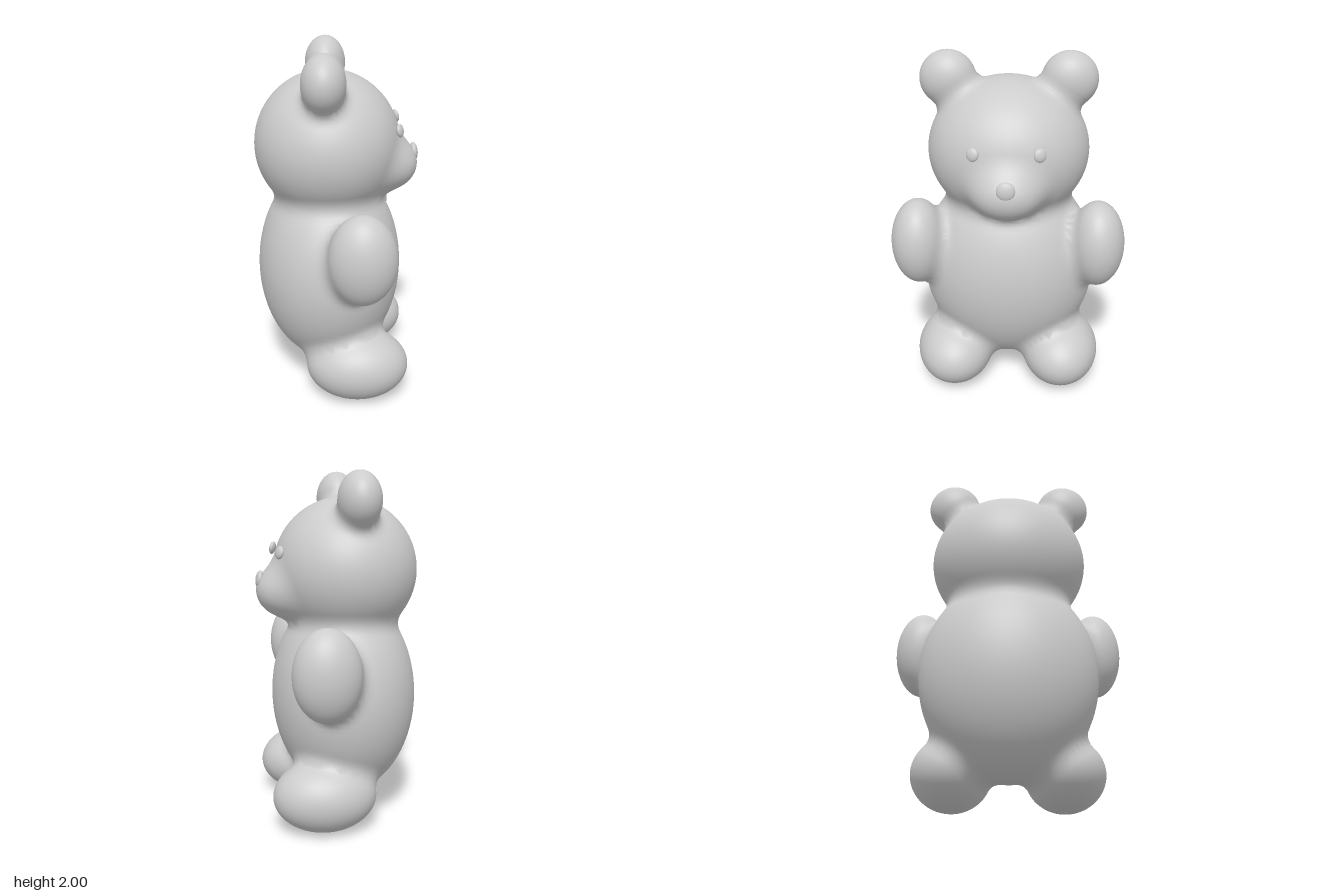
import * as THREE from 'three';

// Ellipsoids that melt into one another: name, centre, radii
const parts = [
  { name: 'body', c: [-0.045, 0.725, 0], r: [0.415, 0.6, 0.508] },
  { name: 'head', c: [-0.055, 1.45, 0], r: [0.41, 0.41, 0.453] },
  { name: 'muzzle', c: [0.265, 1.335, 0], r: [0.19, 0.16, 0.2] },
];
for (const [side, s] of [['left', -1], ['right', 1]]) {
  parts.push(
    { name: side + 'Ear', c: [-0.07, 1.845, s * 0.333], r: [0.118, 0.155, 0.155] },
    { name: side + 'Arm', c: [0.137, 0.945, s * 0.51], r: [0.187, 0.255, 0.155] },
    { name: side + 'Leg', c: [0.118, 0.21, s * 0.318], r: [0.292, 0.205, 0.227] },
  );
}

const BLEND = 0.08;

// Approximate signed distance to one ellipsoid
function distance(p, { c, r }) {
  const d = [p.x - c[0], p.y - c[1], p.z - c[2]];
  const k0 = Math.hypot(d[0] / r[0], d[1] / r[1], d[2] / r[2]);
  const k1 = Math.hypot(d[0] / r[0] ** 2, d[1] / r[1] ** 2, d[2] / r[2] ** 2);
  return k0 * (k0 - 1) / Math.max(k1, 1e-6);
}

// Smooth union of all ellipsoids, giving soft fillets at the joins
function field(p) {
  let f = 10;
  for (const part of parts) {
    const d = distance(p, part);
    const h = Math.max(BLEND - Math.abs(f - d), 0) / BLEND;
    f = Math.min(f, d) - h * h * BLEND / 4;
  }
  return f;
}

function gradient(p) {
  const e = 0.002;
  const slope = (x, y, z) =>
    field(new THREE.Vector3(p.x + x, p.y + y, p.z + z)) - field(new THREE.Vector3(p.x - x, p.y - y, p.z - z));
  return new THREE.Vector3(slope(e, 0, 0), slope(0, e, 0), slope(0, 0, e)).normalize();
}

// Ellipsoid whose vertices are pushed out onto the blended skin
function skinGeometry({ c, r }) {
  const geometry = new THREE.SphereGeometry(1, 96, 64);
  geometry.scale(...r).translate(...c);
  const position = geometry.attributes.position;
  const normal = geometry.attributes.normal;
  const p = new THREE.Vector3(), n = new THREE.Vector3();
  for (let i = 0; i < position.count; i++) {
    p.fromBufferAttribute(position, i);
    n.set((p.x - c[0]) / r[0] ** 2, (p.y - c[1]) / r[1] ** 2, (p.z - c[2]) / r[2] ** 2).normalize();
    let moved = 0;
    for (let k = 0; k < 10 && moved < 0.06; k++) {
      const step = Math.min(-field(p), 0.06 - moved);
      p.addScaledVector(n, step);
      moved += step;
    }
    position.setXYZ(i, p.x, p.y, p.z);
    const g = gradient(p);
    normal.setXYZ(i, g.x, g.y, g.z);
  }
  return geometry;
}

export function createModel() {
  const bear = new THREE.Group();
  bear.name = 'bear';
  const grey = new THREE.MeshStandardMaterial({ color: 0xcccccc });
  grey.name = 'plain grey';

  const add = (name, geometry) => {
    const mesh = new THREE.Mesh(geometry, grey);
    mesh.name = name;
    bear.add(mesh);
    return mesh;
  };

  // Body, head and limbs
  for (const part of parts) add(part.name, skinGeometry(part));

  // Small buttons for the face
  const button = (name, position, radii, turn, tilt) => {
    const mesh = add(name, new THREE.SphereGeometry(1, 32, 20).scale(...radii));
    mesh.position.set(...position);
    mesh.rotation.set(0, turn, tilt);
  };
  button('nose', [0.436, 1.4, 0], [0.022, 0.05, 0.05], 0, 0.15);
  for (const [side, s] of [['left', -1], ['right', 1]]) {
    button(side + 'Eye', [0.34, 1.562, s * 0.175], [0.017, 0.037, 0.035], -s * 0.4, 0.2);
  }
  return bear;
}
